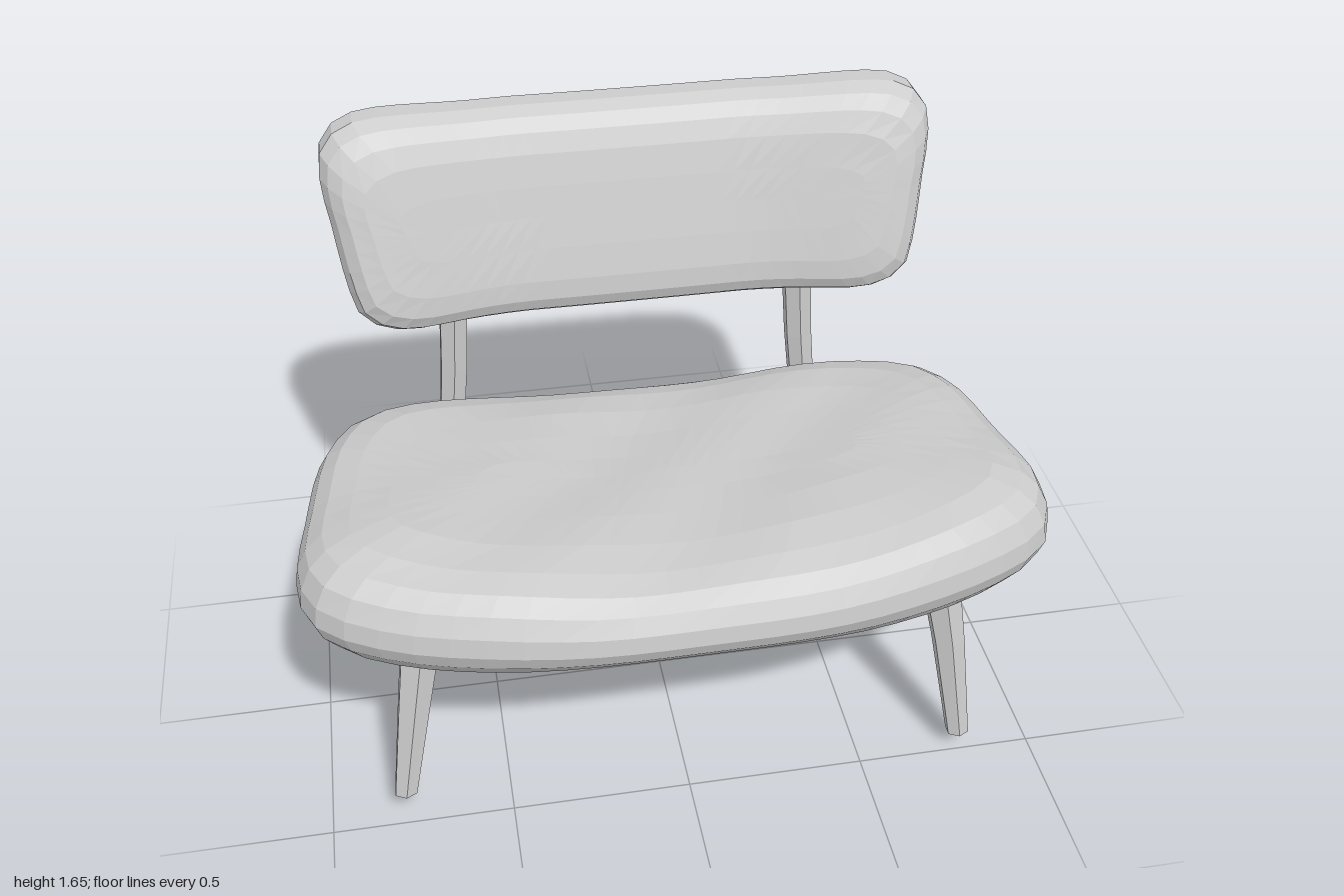
import * as THREE from 'three';

const material = new THREE.MeshStandardMaterial({ color: 0xcccccc, flatShading: true });
const { lerp, smoothstep } = THREE.MathUtils;

function buildMesh(name, positions, index) {
  const g = new THREE.BufferGeometry();
  g.setAttribute('position', new THREE.Float32BufferAttribute(positions, 3));
  g.setIndex(index);
  g.computeVertexNormals();
  const mesh = new THREE.Mesh(g, material);
  mesh.name = name;
  return mesh;
}

// Closed smooth outline from its right half, listed counter-clockwise
function mirroredOutline(half, count) {
  const left = half.slice(1, -1).reverse().map(([u, v]) => [-u, v]);
  const points = [...half, ...left].map(([u, v]) => new THREE.Vector3(u, v, 0));
  return new THREE.CatmullRomCurve3(points, true).getSpacedPoints(count).slice(0, count);
}

// Cushion from inset copies of an outline; rings are [inset, level 0..1]
function cushion(name, outline, a, b, rings, place) {
  const positions = [], index = [], n = outline.length;
  rings.forEach(([inset, t], i) => {
    outline.forEach((p, j) => {
      positions.push(...place(p.x * (a - inset) / a, p.y * (b - inset) / b, t));
      if (i === 0) return;
      const k = (j + 1) % n, lo = (i - 1) * n, hi = i * n;
      index.push(lo + j, lo + k, hi + k, lo + j, hi + k, hi + j);
    });
  });
  return buildMesh(name, positions, index);
}

// Leg from horizontal six-sided sections [x, y, z, halfX, halfZ], bottom to top
function leg(name, sections, side) {
  const sides = 6, positions = [], index = [];
  sections.forEach(([x, y, z, rx, rz], i) => {
    for (let j = 0; j < sides; j++) {
      const angle = (j + 0.5) / sides * Math.PI * 2;
      positions.push(side * x + rx * Math.cos(angle), y, z - rz * Math.sin(angle));
      if (i === 0) continue;
      const k = (j + 1) % sides, lo = (i - 1) * sides, hi = i * sides;
      index.push(lo + j, lo + k, hi + k, lo + j, hi + k, hi + j);
    }
  });
  const top = (sections.length - 1) * sides;
  for (let j = 1; j < sides - 1; j++) {
    index.push(0, j + 1, j, top, top + j, top + j + 1);
  }
  return buildMesh(name, positions, index);
}

// Side rail running back to front, narrower below, with sections [x, y, z, width, height]
function sideRail(name, back, front, side) {
  const g = new THREE.BoxGeometry(1, 1, 1, 1, 2, 1);
  const p = g.attributes.position;
  for (let i = 0; i < p.count; i++) {
    const [x, y, z, w, h] = p.getZ(i) < 0 ? back : front;
    const taper = p.getY(i) < -0.25 ? 0.45 : 1;
    p.setXYZ(i, side * x + p.getX(i) * w * taper, y + p.getY(i) * h, z);
  }
  g.computeVertexNormals();
  const mesh = new THREE.Mesh(g, material);
  mesh.name = name;
  return mesh;
}

function crossRail(name, width, height, depth, y, z) {
  const mesh = new THREE.Mesh(new THREE.BoxGeometry(width, height, depth), material);
  mesh.name = name;
  mesh.position.set(0, y, z);
  return mesh;
}

export function createModel() {
  const group = new THREE.Group();

  // Seat cushion: dished across the middle, rolling down at the back
  const seatOutline = mirroredOutline([
    [0, -0.575], [0.5, -0.555], [0.8, -0.475], [0.95, -0.38], [1, -0.25], [0.98, 0],
    [0.93, 0.29], [0.83, 0.46], [0.5, 0.56], [0, 0.575],
  ], 60);
  const seatRings = [
    [0.57, 0.06], [0.22, 0.06], [0.17, 0.04], [0.1, 0], [0.05, 0.07], [0.015, 0.25],
    [0, 0.42], [0.008, 0.62], [0.035, 0.81], [0.08, 0.93], [0.15, 0.99], [0.25, 1.01],
    [0.37, 1], [0.48, 1], [0.57, 1],
  ];
  group.add(cushion('seatCushion', seatOutline, 1, 0.57, seatRings, (u, v, t) => {
    const z = 0.11 - v;
    const top = 0.855 + 0.06 * smoothstep(Math.abs(u), 0, 0.85)
      - 0.09 * Math.max(0, 0.35 - z) - 0.02 * smoothstep(-z, 0.25, 0.46)
      + 0.005 * Math.sin(11 * (u + z));
    const bottom = 0.605 + 0.03 * u ** 4 - 0.05 * smoothstep(-z, 0.12, 0.42)
      + 0.02 * smoothstep(z, 0.4, 0.65);
    return [u, lerp(bottom, top, t), z];
  }));

  // Back cushion and rear panel: leaning back, ends curved forward
  const backOutline = mirroredOutline([
    [0, -0.288], [0.45, -0.285], [0.69, -0.275], [0.775, -0.225], [0.805, -0.12],
    [0.825, 0.02], [0.842, 0.15], [0.825, 0.23], [0.75, 0.28], [0.4, 0.272], [0, 0.27],
  ], 68);
  const placeBack = (u, v, t) => {
    const bend = (0.035 + 0.035 * t) * smoothstep(Math.abs(u), 0.28, 0.8);
    return [u, 1.365 + v, -0.61 + 0.24 * t - 0.28 * (v + 0.065) + bend];
  };
  group.add(cushion('backCushion', backOutline, 0.84, 0.285, [
    [0.285, 0], [0.09, 0], [0.055, 0.12], [0.025, 0.28], [0, 0.48], [0, 0.72],
    [0.02, 0.86], [0.055, 0.95], [0.11, 0.99], [0.2, 1], [0.285, 1],
  ], placeBack));
  group.add(cushion('backPanel', backOutline, 0.84, 0.285, [
    [0.285, -0.04], [0.2, -0.04], [0.09, -0.04], [0.08, 0.04], [0.285, 0.04],
  ], placeBack));

  // Legs and side rails
  for (const [label, side] of [['left', 1], ['right', -1]]) {
    group.add(leg(label + 'FrontLeg', [
      [0.79, side > 0 ? 0.06 : 0.11, 0.48, 0.034, 0.03],
      [0.74, 0.4, 0.435, 0.048, 0.046],
      [0.71, 0.57, 0.41, 0.056, 0.053],
      [0.7, 0.64, 0.4, 0.035, 0.03],
    ], side));
    group.add(leg(label + 'RearLeg', [
      [0.59, 0, -0.545, 0.02, 0.022],
      [0.588, 0.05, -0.545, 0.032, 0.034],
      [0.565, 0.45, -0.542, 0.04, 0.04],
      [0.53, 0.8, -0.547, 0.044, 0.042],
      [0.51, 1.1, -0.555, 0.046, 0.044],
      [0.51, 1.15, -0.565, 0.04, 0.038],
      [0.51, 1.2, -0.572, 0.012, 0.014],
    ], side));
    group.add(sideRail(label + 'SideRail',
      [0.54, 0.515, -0.39, 0.07, 0.1], [0.67, 0.58, 0.37, 0.07, 0.09], side));
    group.add(sideRail(label + 'RailTip',
      [0.55, 0.535, -0.52, 0.04, 0.03], [0.54, 0.515, -0.39, 0.07, 0.1], side));
  }

  // Cross rails under the seat
  group.add(crossRail('frontRail', 1.36, 0.085, 0.06, 0.57, 0.37));
  group.add(crossRail('rearRail', 1.06, 0.085, 0.05, 0.508, -0.375));

  return group;
}
